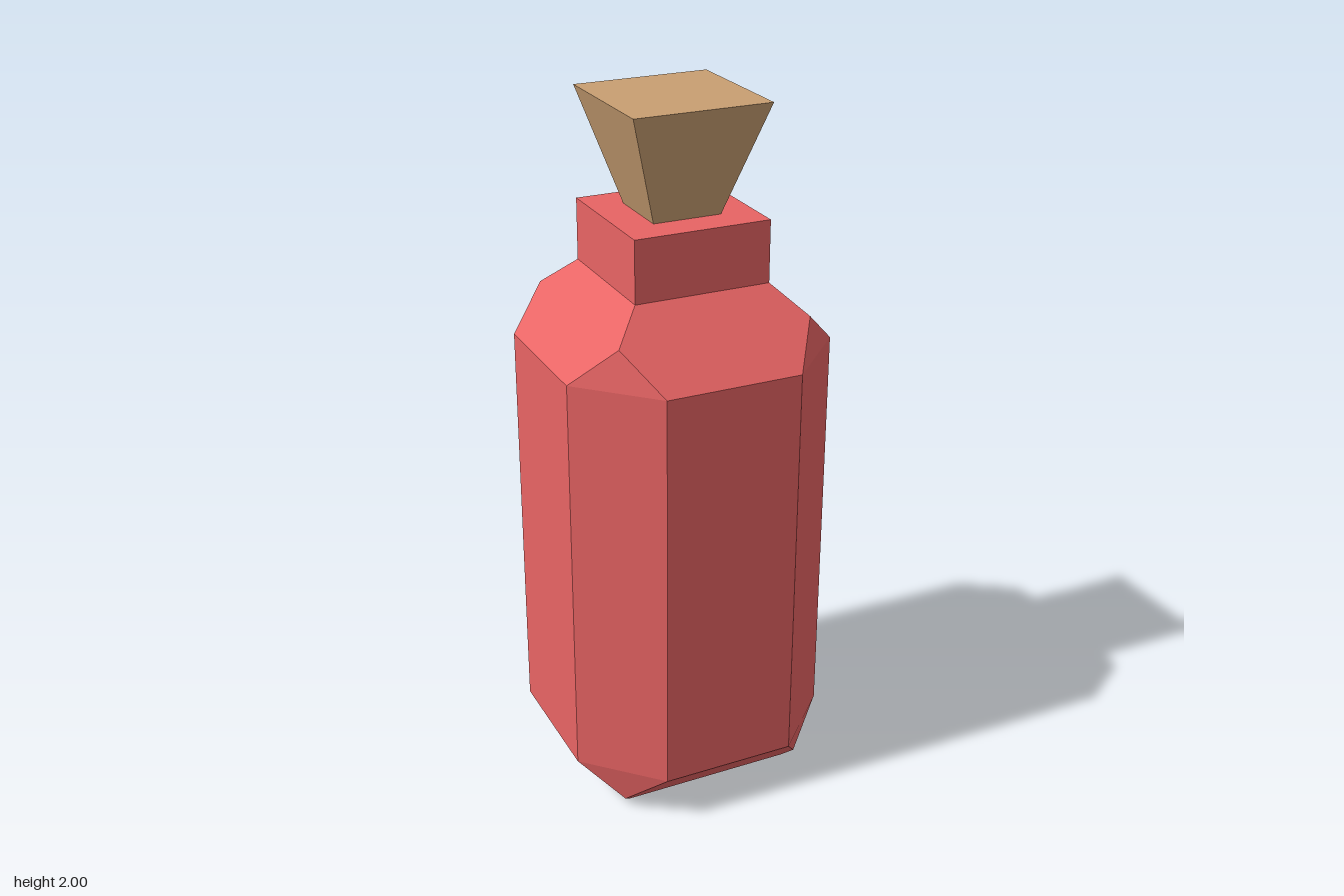
import * as THREE from 'three';
import { ConvexGeometry } from 'three/addons/geometries/ConvexGeometry.js';

const glass = new THREE.MeshStandardMaterial({ color: 0xe86464, flatShading: true });
const cork = new THREE.MeshStandardMaterial({ color: 0xc99f72, flatShading: true });

// Four-sided frustum given by the half widths of its top and bottom squares
function squareFrustum(name, halfTop, halfBottom, y0, y1, material) {
  const geometry = new THREE.CylinderGeometry(halfTop * Math.SQRT2, halfBottom * Math.SQRT2, y1 - y0, 4);
  geometry.rotateY(Math.PI / 4);
  geometry.translate(0, (y0 + y1) / 2, 0);
  const mesh = new THREE.Mesh(geometry, material);
  mesh.name = name;
  return mesh;
}

export function createModel() {
  const group = new THREE.Group();
  group.name = 'bottle';

  const half = 0.39, flat = 0.195, corner = 0.277, base = 0.25;
  const wallBottom = 0.14, wallTop = 1.325, shoulderTop = 1.515;

  // Corner points lie on the sloping planes of the shoulder and the base
  const t = (half - corner) / (half - flat);
  const shoulderCornerY = wallTop + t * (shoulderTop - wallTop);
  const baseCornerY = wallBottom * (corner - base) / (half - base);

  // Faceted body: octagonal wall, bevelled shoulder and bevelled base
  const points = [];
  for (const sx of [-1, 1]) {
    for (const sz of [-1, 1]) {
      const add = (x, y, z) => points.push(new THREE.Vector3(sx * x, y, sz * z));
      add(base, 0, base);
      add(corner, baseCornerY, corner);
      for (const y of [wallBottom, wallTop]) {
        add(half, y, flat);
        add(flat, y, half);
      }
      add(corner, shoulderCornerY, corner);
      add(flat, shoulderTop, flat);
    }
  }
  const body = new THREE.Mesh(new ConvexGeometry(points), glass);
  body.name = 'body';
  group.add(body);

  // Square neck and the tapered stopper standing in it
  group.add(squareFrustum('neck', flat, flat, shoulderTop, 1.69, glass));
  group.add(squareFrustum('stopper', flat, 0.098, 1.69, 2, cork));

  return group;
}
